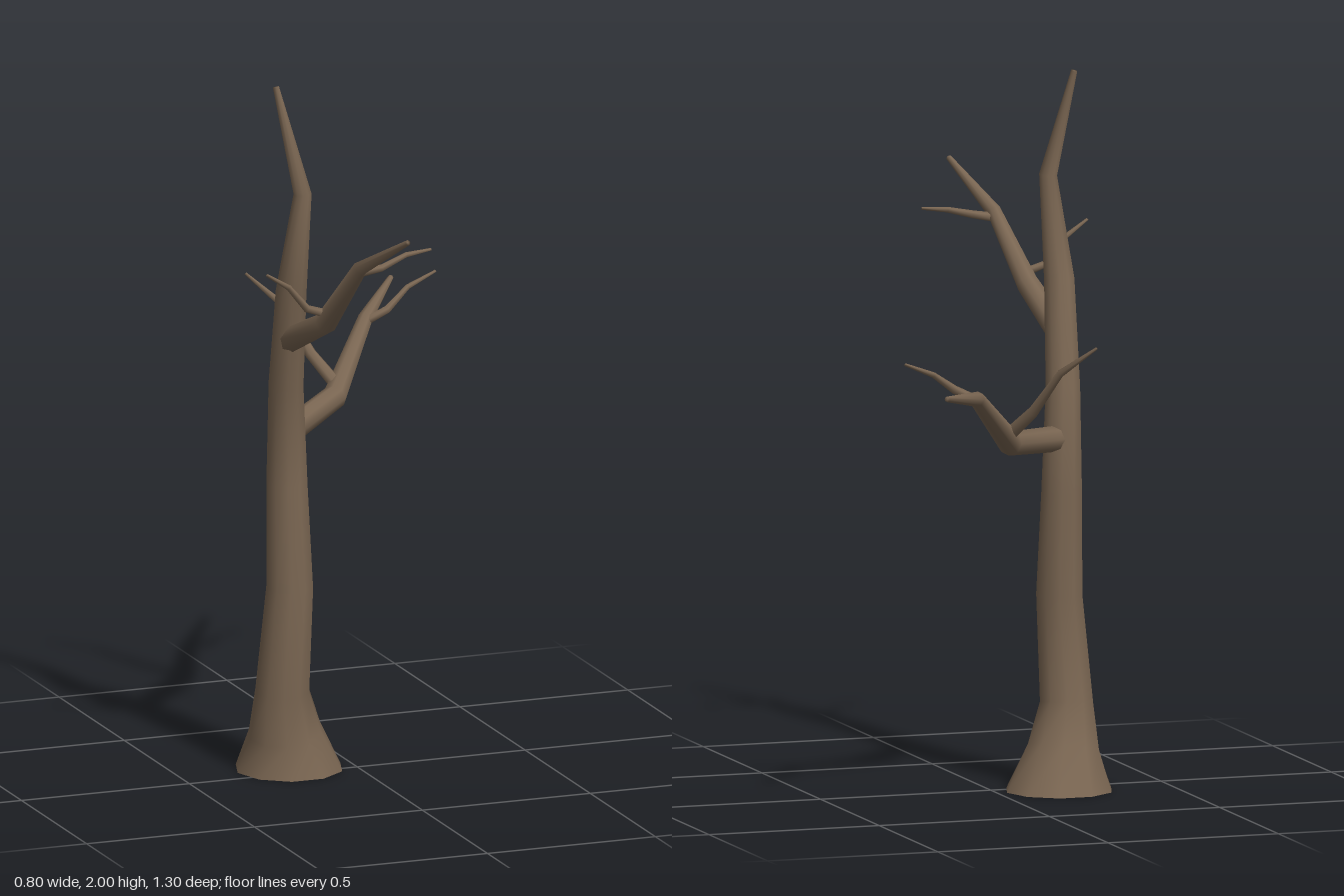
import * as THREE from 'three';

const bark = new THREE.MeshStandardMaterial({ color: 0x7a6652, side: THREE.DoubleSide });
bark.name = 'bark brown';

// Tapered limb: rings of the given radii around a polyline of [x, y, z, radius]
function limb(name, points, sides, startDirection) {
  const centres = points.map(([x, y, z]) => new THREE.Vector3(x, y, z));
  const last = centres.length - 1;
  const segment = i => centres[i + 1].clone().sub(centres[i]).normalize();
  const tangents = centres.map((_, i) => {
    if (i === 0) return startDirection || segment(0);
    if (i === last) return segment(last - 1);
    return segment(i - 1).add(segment(i)).normalize();
  });

  const positions = [];
  const indices = [];
  const turn = new THREE.Quaternion().setFromUnitVectors(new THREE.Vector3(0, 1, 0), tangents[0]);
  centres.forEach((centre, i) => {
    // Carry the ring's orientation along the limb without twisting
    if (i > 0) {
      turn.premultiply(new THREE.Quaternion().setFromUnitVectors(tangents[i - 1], tangents[i]));
    }
    for (let s = 0; s < sides; s++) {
      const angle = (s / sides) * Math.PI * 2;
      const p = new THREE.Vector3(Math.cos(angle), 0, Math.sin(angle))
        .multiplyScalar(points[i][3]).applyQuaternion(turn).add(centre);
      positions.push(p.x, p.y, p.z);
      if (i < last) {
        const a = i * sides + s;
        const b = i * sides + ((s + 1) % sides);
        indices.push(a, a + sides, b, b, a + sides, b + sides);
      }
    }
  });

  // Close the thin end
  const tip = positions.length / 3;
  positions.push(...centres[last].toArray());
  for (let s = 0; s < sides; s++) {
    indices.push(last * sides + s, tip, last * sides + ((s + 1) % sides));
  }

  const geometry = new THREE.BufferGeometry();
  geometry.setAttribute('position', new THREE.Float32BufferAttribute(positions, 3));
  geometry.setIndex(indices);
  geometry.computeVertexNormals();
  const mesh = new THREE.Mesh(geometry, bark);
  mesh.name = name;
  return mesh;
}

export function createModel() {
  const tree = new THREE.Group();
  tree.name = 'bareTree';

  // Trunk with a flared, open foot
  tree.add(limb('trunk', [
    [-0.18, 0, -0.06, 0.153],
    [-0.20, 0.115, -0.037, 0.104],
    [-0.218, 0.24, -0.013, 0.077],
    [-0.204, 0.54, 0.008, 0.067],
    [-0.20, 0.83, -0.024, 0.059],
    [-0.212, 1.12, 0, 0.05],
    [-0.235, 1.41, 0.098, 0.044],
    [-0.214, 1.70, 0.132, 0.026],
    [-0.27, 1.998, 0.072, 0.009],
  ], 10, new THREE.Vector3(0, 1, 0)));

  // Lower branch, reaching back and to the left, with two twigs
  tree.add(limb('lowerBranch', [
    [-0.20, 0.98, -0.01, 0.037],
    [0.018, 1.008, -0.22, 0.035],
    [0.18, 1.168, -0.405, 0.022],
    [0.35, 1.212, -0.646, 0.008],
  ], 8));
  tree.add(limb('lowerInnerTwig', [
    [0.03, 1.04, -0.25, 0.02],
    [-0.015, 1.11, -0.32, 0.017],
    [-0.06, 1.23, -0.42, 0.011],
    [-0.14, 1.308, -0.497, 0.004],
  ], 6));
  tree.add(limb('lowerOuterTwig', [
    [0.18, 1.165, -0.395, 0.013],
    [0.24, 1.195, -0.388, 0.012],
    [0.313, 1.245, -0.42, 0.008],
    [0.40, 1.28, -0.43, 0.004],
  ], 6));

  // Upper branch, reaching forward, with two twigs
  tree.add(limb('upperBranch', [
    [-0.225, 1.265, 0.06, 0.038],
    [-0.21, 1.37, 0.298, 0.032],
    [-0.158, 1.555, 0.43, 0.021],
    [-0.10, 1.677, 0.647, 0.008],
  ], 8));
  tree.add(limb('upperRightTwig', [
    [-0.21, 1.40, 0.31, 0.012],
    [-0.27, 1.42, 0.31, 0.011],
    [-0.33, 1.49, 0.325, 0.008],
    [-0.40, 1.535, 0.337, 0.004],
  ], 6));
  tree.add(limb('upperLeftTwig', [
    [-0.155, 1.54, 0.425, 0.013],
    [-0.095, 1.55, 0.431, 0.011],
    [-0.01, 1.572, 0.40, 0.008],
    [0.066, 1.58, 0.396, 0.004],
  ], 6));

  return tree;
}
